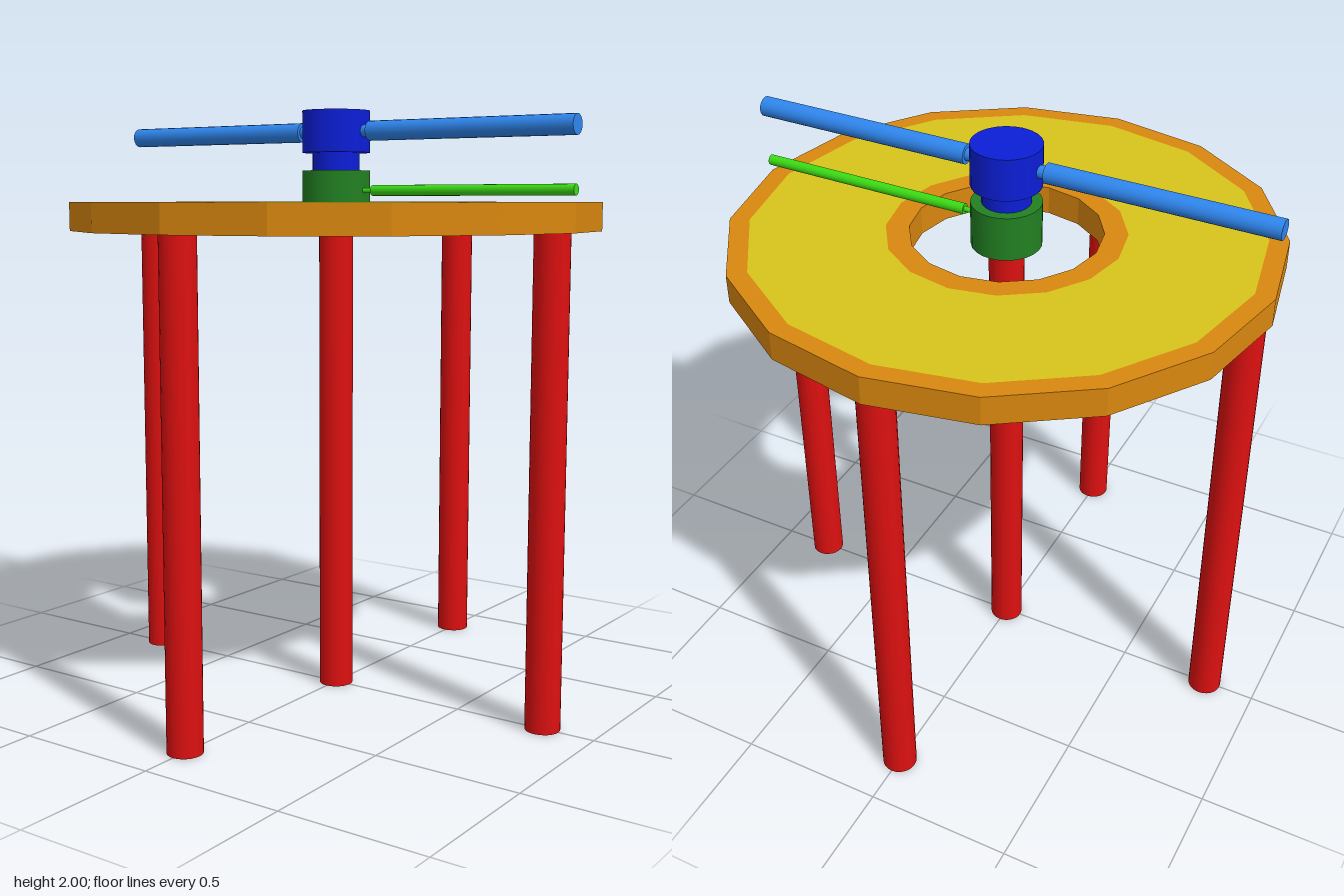
import * as THREE from 'three';

const material = (color, flatShading = false) => new THREE.MeshStandardMaterial({ color, flatShading });

export function createModel() {
  const model = new THREE.Group();
  const red = material(0xdc1010);
  const orange = material(0xd9870f, true);
  const yellow = material(0xd8c41c, true);
  const darkBlue = material(0x0c1ed6);
  const lightBlue = material(0x2f86ee);
  const darkGreen = material(0x228022);
  const brightGreen = material(0x3cdc14);

  const add = (name, geometry, mat) => {
    const mesh = new THREE.Mesh(geometry, mat);
    mesh.name = name;
    model.add(mesh);
    return mesh;
  };

  // Upright cylinder between two heights
  const post = (name, r, y0, y1, mat, x = 0, z = 0, sides = 24) =>
    add(name, new THREE.CylinderGeometry(r, r, y1 - y0, sides), mat).position.set(x, (y0 + y1) / 2, z);

  // Level cylinder along x between two distances
  const rod = (name, r, x0, x1, y, mat) => {
    const mesh = add(name, new THREE.CylinderGeometry(r, r, Math.abs(x1 - x0), 16), mat);
    mesh.rotation.z = Math.PI / 2;
    mesh.position.set((x0 + x1) / 2, y, 0);
  };

  // Four outer legs and the central column
  for (let i = 0; i < 4; i++) {
    const a = (i * Math.PI) / 2;
    post('leg', 0.058, 0, 1.6, red, 0.818 * Math.cos(a), 0.818 * Math.sin(a));
  }
  post('centralColumn', 0.058, 0, 1.66, red);

  // Sixteen-sided ring top: orange rims with yellow faces between them
  const bottom = 1.6, top = 1.695;
  const band = (name, mat, points) =>
    add(name, new THREE.LatheGeometry(points.map(([r, y]) => new THREE.Vector2(r, y)), 16), mat);
  band('outerRim', orange, [[0.83, bottom], [0.895, bottom], [0.895, top], [0.83, top]]);
  band('innerRim', orange, [[0.388, top], [0.312, top], [0.312, bottom], [0.388, bottom]]);
  band('topFace', yellow, [[0.83, top], [0.388, top]]);
  band('bottomFace', yellow, [[0.388, bottom], [0.83, bottom]]);

  // Green hub with its single arm
  post('lowerHub', 0.115, 1.65, 1.8, darkGreen);
  rod('lowerArmPin', 0.009, 0.1, 0.155, 1.733, brightGreen);
  rod('lowerArm', 0.018, 0.15, 0.895, 1.733, brightGreen);

  // Blue hub with a pair of arms
  post('upperNeck', 0.08, 1.8, 1.86, darkBlue);
  post('upperHub', 0.115, 1.86, 2, darkBlue);
  for (const s of [-1, 1]) {
    rod('upperArmPin', 0.021, s * 0.1, s * 0.145, 1.93, lightBlue);
    rod('upperArm', 0.033, s * 0.138, s * 0.895, 1.93, lightBlue);
  }

  return model;
}
